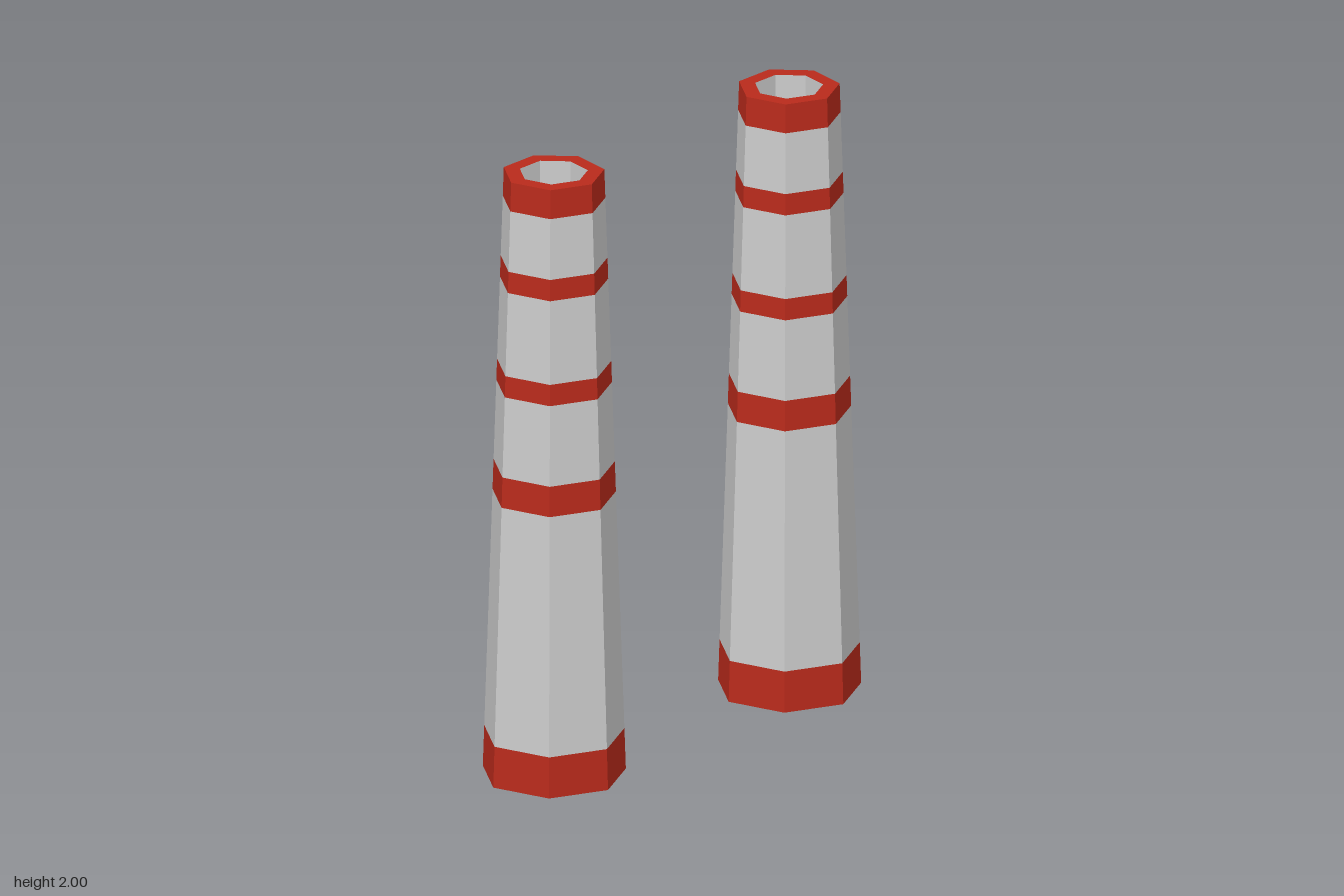
import * as THREE from 'three';

const SIDES = 7;
const HEIGHT = 2;
const BASE_R = 0.229;
const TOP_R = 0.161;
const BORE_R = 0.109;
const BORE_FLOOR = 1.7;

const grey = new THREE.MeshStandardMaterial({ color: 0xcccccc, flatShading: true });
const red = new THREE.MeshStandardMaterial({ color: 0xb92a1b, flatShading: true });

// Outer radius of the tapered stack at height y
const radiusAt = (y) => THREE.MathUtils.lerp(BASE_R, TOP_R, y / HEIGHT);

// Seven-sided surface swept from [radius, y] pairs, one corner towards -z
function ring(name, profile, material) {
  const points = profile.map(([r, y]) => new THREE.Vector2(r, y));
  const mesh = new THREE.Mesh(new THREE.LatheGeometry(points, SIDES, Math.PI), material);
  mesh.name = name;
  return mesh;
}

function createChimney(name) {
  const chimney = new THREE.Group();
  chimney.name = name;

  // Alternating flush courses: red base, grey shaft, red bands, red crown
  const levels = [0, 0.135, 0.925, 1.025, 1.29, 1.36, 1.635, 1.705, 1.905, HEIGHT];
  for (let i = 0; i < levels.length - 1; i++) {
    const [low, high] = [levels[i], levels[i + 1]];
    const isBand = i % 2 === 0;
    chimney.add(ring(
      isBand ? `redBand${i / 2 + 1}` : `shaftSection${(i + 1) / 2}`,
      [[radiusAt(low), low], [radiusAt(high), high]],
      isBand ? red : grey,
    ));
  }

  // Closed underside, flat red rim and recessed flue
  chimney.add(
    ring('underside', [[0, 0], [BASE_R, 0]], grey),
    ring('rim', [[TOP_R, HEIGHT], [BORE_R, HEIGHT]], red),
    ring('flueWall', [[BORE_R, HEIGHT], [BORE_R, BORE_FLOOR]], grey),
    ring('flueFloor', [[BORE_R, BORE_FLOOR], [0, BORE_FLOOR]], grey),
  );
  return chimney;
}

export function createModel() {
  const model = new THREE.Group();
  model.name = 'chimneyPair';

  const front = createChimney('frontChimney');
  front.position.set(-0.136, 0, 0.521);
  const back = createChimney('backChimney');
  back.position.set(0.136, 0, -0.498);

  model.add(front, back);
  return model;
}
